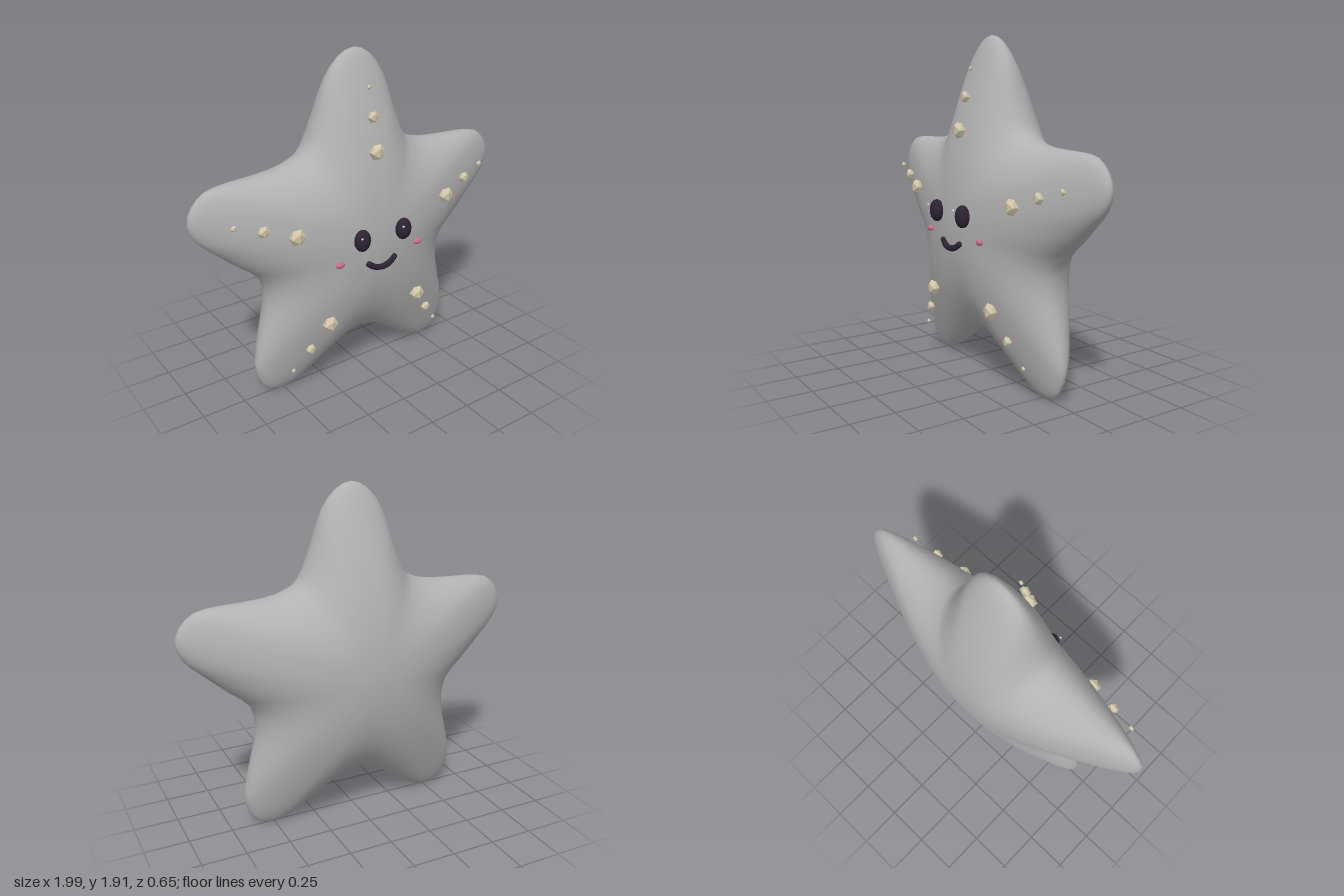
import * as THREE from 'three';

const mat = (name, color, flatShading = false) => {
  const m = new THREE.MeshStandardMaterial({ color, flatShading });
  m.name = name;
  return m;
};

// Right half of the star outline, top tip down to the crotch
const HALF = [
  [0, 1.915], [0.09, 1.88], [0.17, 1.78], [0.22, 1.64], [0.28, 1.47], [0.34, 1.385],
  [0.51, 1.335], [0.76, 1.325], [0.89, 1.305], [0.965, 1.24], [0.995, 1.155], [0.96, 1.06],
  [0.87, 0.97], [0.74, 0.855], [0.61, 0.74], [0.585, 0.59], [0.62, 0.43], [0.67, 0.22],
  [0.655, 0.12], [0.6, 0.03], [0.5, 0.005], [0.41, 0.035], [0.28, 0.12], [0.13, 0.22], [0, 0.255],
];

// Puffy star: scaled outline rings, front pole to rim to back pole
function starGeometry() {
  const cy = 0.9, rows = 28, n = 96;
  const left = HALF.slice(1, -1).map(([x, y]) => [-x, y]);
  const loop = [HALF[0], ...left, ...HALF.slice(1).reverse()]
    .map(([x, y]) => new THREE.Vector3(x, y, 0));
  const rim = new THREE.CatmullRomCurve3(loop, true).getPoints(n).slice(0, n);
  const pos = [0, cy, 0.27], index = [];
  for (let i = 1; i < rows; i++) {
    const t = Math.sin((Math.PI * i) / rows);
    const depth = i < rows / 2 ? 0.27 : -0.33;
    for (const p of rim) {
      const x = p.x * t, y = (p.y - cy) * t;
      const ridge = Math.exp(-(x * x + y * y) / 0.9);
      const z = i === rows / 2 ? 0 : depth * ridge * Math.sqrt(1 - t ** 4);
      pos.push(x, y + cy, z);
    }
  }
  pos.push(0, cy, -0.33);
  const last = pos.length / 3 - 1;
  const id = (i, j) => (i === 0 ? 0 : i === rows ? last : 1 + (i - 1) * n + (j % n));
  for (let i = 0; i < rows; i++) {
    for (let j = 0; j < n; j++) {
      if (i < rows - 1) index.push(id(i, j), id(i + 1, j), id(i + 1, j + 1));
      if (i > 0) index.push(id(i, j), id(i + 1, j + 1), id(i, j + 1));
    }
  }
  const g = new THREE.BufferGeometry();
  g.setAttribute('position', new THREE.Float32BufferAttribute(pos, 3));
  g.setIndex(index);
  g.computeVertexNormals();
  return g;
}

export function createModel() {
  const group = new THREE.Group();
  group.name = 'starfish';
  const grey = mat('bodyGrey', 0xb2b2b2);
  const cream = mat('spotCream', 0xd2c6aa, true);
  const dark = mat('faceDark', 0x2e2335);
  const pink = mat('cheekPink', 0xcb6f88);
  const white = mat('glintWhite', 0xffffff);

  const add = (name, geometry, material, position = [0, 0, 0], scale = [1, 1, 1]) => {
    const m = new THREE.Mesh(geometry, material);
    m.name = name;
    m.position.set(...position);
    m.scale.set(...scale);
    group.add(m);
    return m;
  };

  add('body', starGeometry(), grey);

  // Rows of faceted spots, shrinking towards each arm tip
  const gem = new THREE.IcosahedronGeometry(1, 0);
  const spot = (x, y, z, r) => add('spot', gem, cream, [x, y, z], [r, r, r * 0.7]);
  spot(0, 1.4, 0.215, 0.048);
  spot(0, 1.58, 0.175, 0.033);
  spot(0, 1.73, 0.14, 0.014);
  for (const s of [-1, 1]) {
    spot(s * 0.495, 1.04, 0.213, 0.048);
    spot(s * 0.665, 1.1, 0.172, 0.034);
    spot(s * 0.81, 1.145, 0.14, 0.018);
    spot(s * 0.305, 0.46, 0.215, 0.048);
    spot(s * 0.41, 0.315, 0.175, 0.031);
    spot(s * 0.505, 0.19, 0.14, 0.014);
  }

  // Eyes, glints and cheeks
  const ball = new THREE.SphereGeometry(1, 16, 12);
  for (const s of [-1, 1]) {
    const side = s > 0 ? 'left' : 'right';
    add(side + 'Eye', ball, dark, [s * 0.137, 0.95, 0.28], [0.048, 0.062, 0.038]);
    add(side + 'EyeGlint', ball, white, [s * 0.137 - 0.029, 0.982, 0.318], [0.006, 0.006, 0.006]);
    add(side + 'Cheek', ball, pink, [s * 0.262, 0.828, 0.253], [0.027, 0.017, 0.014]);
  }

  // Smile with rounded ends
  const smile = new THREE.CatmullRomCurve3([
    [-0.085, 0.79, 0.268], [-0.05, 0.767, 0.275], [0, 0.757, 0.278],
    [0.05, 0.767, 0.275], [0.085, 0.79, 0.268],
  ].map((p) => new THREE.Vector3(...p)));
  add('smile', new THREE.TubeGeometry(smile, 16, 0.017, 8), dark);
  for (const s of [-1, 1]) add('smileEnd', ball, dark, [s * 0.085, 0.79, 0.268], [0.017, 0.017, 0.017]);

  return group;
}
